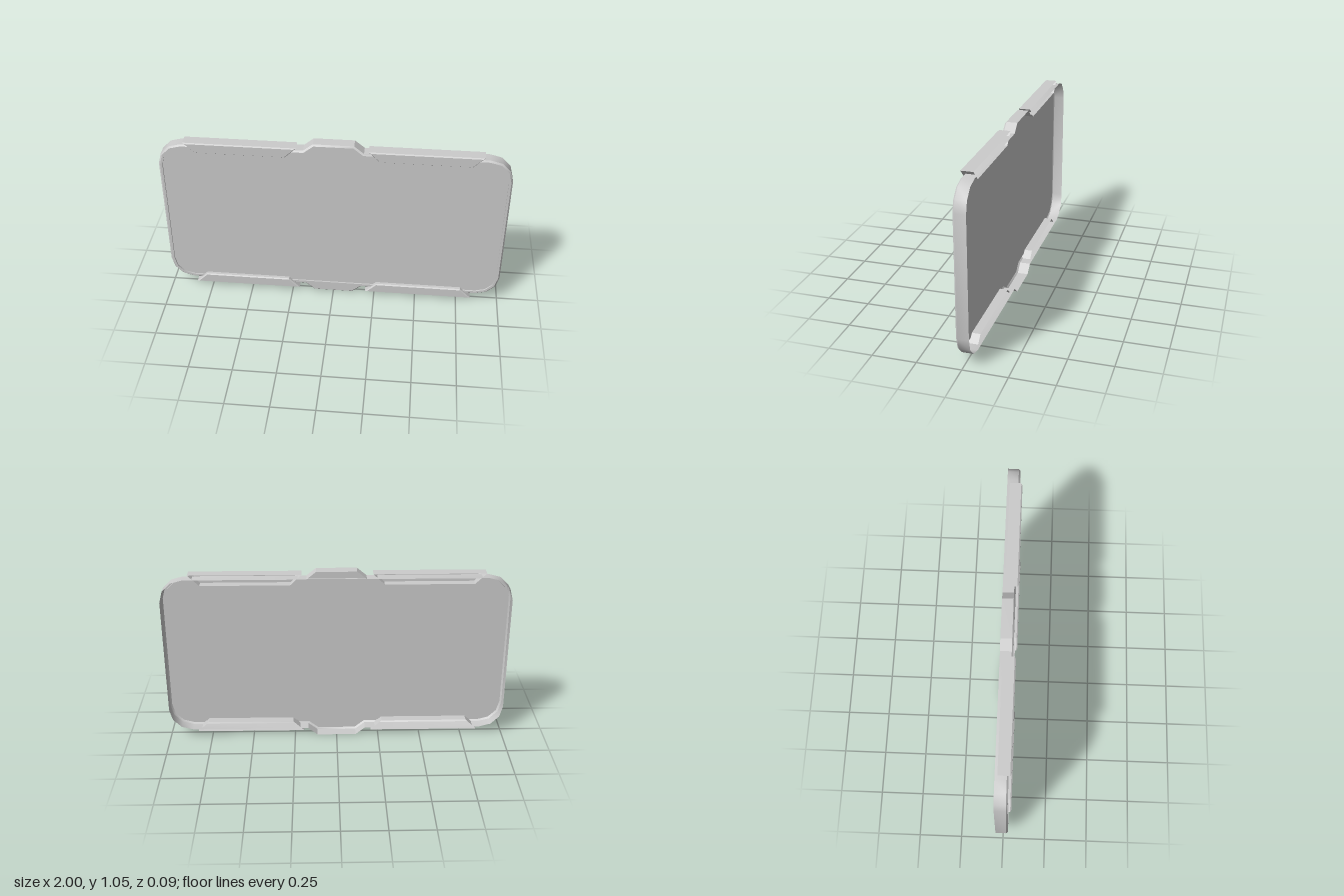
import * as THREE from 'three';
import { toCreasedNormals } from 'three/addons/utils/BufferGeometryUtils.js';

const MID_Y = 0.5275;
const material = new THREE.MeshStandardMaterial({ color: 0xcccccc, side: THREE.DoubleSide });

// Moves every edge of a counter-clockwise outline inwards by d.
function inset(points, d) {
  const n = points.length;
  return points.map((p, i) => {
    const a = p.clone().sub(points[(i + n - 1) % n]).normalize();
    const b = points[(i + 1) % n].clone().sub(p).normalize();
    const na = new THREE.Vector2(-a.y, a.x);
    const nb = new THREE.Vector2(-b.y, b.x);
    const miter = na.clone().add(nb);
    return p.clone().addScaledVector(miter, d / (1 + na.dot(nb)));
  });
}

// Joins outlines given as [points, z] into a band facing outwards (back to front).
function band(rings) {
  const n = rings[0][0].length;
  const position = [];
  const index = [];
  for (const [points, z] of rings) for (const p of points) position.push(p.x, p.y, z);
  for (let r = 0; r < rings.length - 1; r++) {
    for (let i = 0; i < n; i++) {
      const a = r * n + i, b = r * n + (i + 1) % n;
      index.push(a, b, b + n, a, b + n, a + n);
    }
  }
  const geometry = new THREE.BufferGeometry();
  geometry.setAttribute('position', new THREE.Float32BufferAttribute(position, 3));
  geometry.setIndex(index);
  return toCreasedNormals(geometry, 0.6);
}

function flat(points, z, hole) {
  const shape = new THREE.Shape(points);
  if (hole) shape.holes.push(new THREE.Path(hole));
  return new THREE.ShapeGeometry(shape).translate(0, 0, z);
}

function add(parent, name, geometry) {
  const mesh = new THREE.Mesh(geometry, material);
  mesh.name = name;
  parent.add(mesh);
}

// Rounded rectangle around the origin, with optional tabs in the long edges.
function outline(w, h, r, tab = []) {
  const points = [];
  const corners = [[1, -1, -0.5], [1, 1, 0], [-1, 1, 0.5], [-1, -1, 1]];
  corners.forEach(([sx, sy, start], c) => {
    if (c % 2 === 0) {
      const s = c === 0 ? 1 : -1;
      for (const [x, y] of tab) points.push(new THREE.Vector2(s * x, -s * y));
    }
    for (let i = 0; i <= 3; i++) {
      const a = (start + i / 6) * Math.PI;
      points.push(new THREE.Vector2(sx * (w - r) + r * Math.cos(a), sy * (h - r) + r * Math.sin(a)));
    }
  });
  return points;
}

export function createModel() {
  const model = new THREE.Group();
  model.name = 'tray';
  const content = new THREE.Group();
  content.name = 'trayParts';
  content.position.y = MID_Y;
  model.add(content);

  // Shallow tray, open at the back, with a central tab above and below
  const tab = [[-0.17, 0.4825], [-0.115, 0.5275], [0.115, 0.5275], [0.17, 0.4825]];
  const outer = outline(1, 0.4825, 0.135, tab);
  const front = inset(outer, 0.009);
  const opening = outline(0.978, 0.46, 0.115);
  add(content, 'trayWall', band([[outer, -0.043], [outer, 0.02], [front, 0.029]]));
  add(content, 'frontRim', flat(front, 0.029, opening));

  // Slightly recessed front panel
  add(content, 'panelStep', band([[opening, 0.02], [opening, 0.029]]));
  add(content, 'frontPanel', flat(opening, 0.02));

  // Four hollow tapered clips, also open at the back
  for (const side of [-1, 1]) {
    for (const x of [-0.527, 0.516]) {
      const points = [[-0.32, 0.505], [0.32, 0.505], [0.255, 0.4425], [-0.255, 0.4425]]
        .map(([px, py]) => new THREE.Vector2(x + px, side * py));
      if (side > 0) points.reverse();
      const face = inset(points, 0.005);
      const clip = new THREE.Group();
      clip.name = (side > 0 ? 'top' : 'bottom') + (x > 0 ? 'Left' : 'Right') + 'Clip';
      add(clip, 'clipWall', band([[points, -0.028], [points, 0.037], [face, 0.044]]));
      add(clip, 'clipFace', flat(face, 0.044));
      content.add(clip);
    }
  }
  return model;
}
